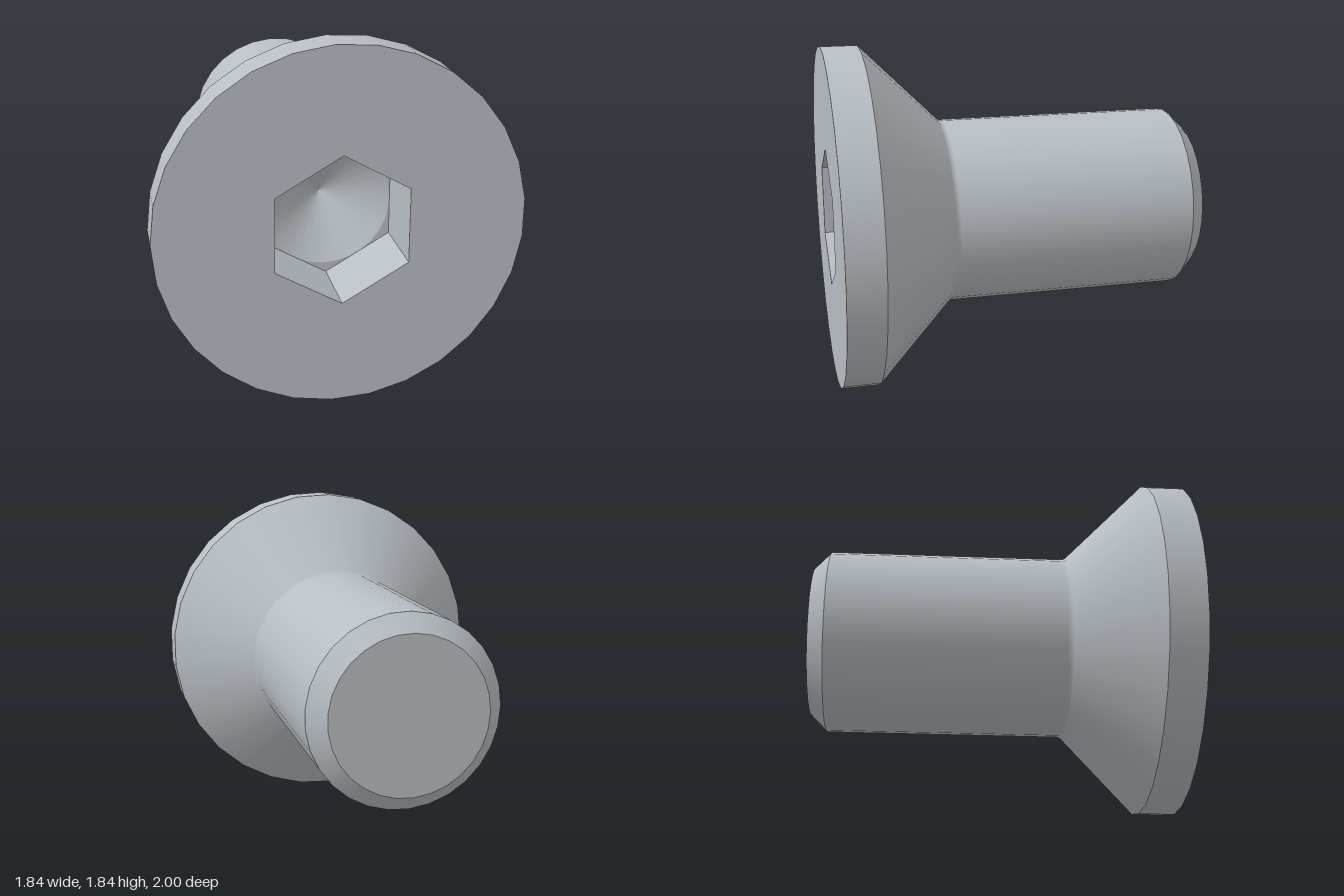
import * as THREE from 'three';

const SIDES = 29;
const HEAD_R = 0.923, SHAFT_R = 0.5, TIP_R = 0.41;
const HEX_R = 0.385, DRILL_R = 0.333;
const FLOOR_Z = 0.624;

// Regular polygon outline with its first corner at the given angle
function polygon(radius, sides, start, Type = THREE.Shape) {
  const pts = [];
  for (let i = 0; i < sides; i++) {
    const a = start + (i / sides) * Math.PI * 2;
    pts.push(new THREE.Vector2(Math.cos(a) * radius, Math.sin(a) * radius));
  }
  return new Type(pts);
}

// Surface of revolution about the z axis from [radius, z] pairs
function turned(profile, sides = SIDES, start = -Math.PI / 2) {
  const pts = profile.map(([r, z]) => new THREE.Vector2(r, z));
  return new THREE.LatheGeometry(pts, sides, start).rotateX(Math.PI / 2);
}

export function createModel() {
  const model = new THREE.Group();
  model.name = 'countersunkScrew';
  const screw = new THREE.Group();
  screw.name = 'screwBody';
  screw.position.y = 0.922;
  model.add(screw);

  const steel = new THREE.MeshStandardMaterial({ color: 0xb8bec3 });
  steel.name = 'steel';
  const add = (name, geometry) => {
    const mesh = new THREE.Mesh(geometry, steel);
    mesh.name = name;
    screw.add(mesh);
  };

  // Shank: flat tip, chamfer, cylinder and a small blend into the head
  add('shankTip', turned([[0, -1], [TIP_R, -1]]));
  add('shankChamfer', turned([[TIP_R, -1], [SHAFT_R, -0.91]]));
  add('shank', turned([[SHAFT_R, -0.91], [SHAFT_R, 0.365]]));
  add('neckBlend', turned([[SHAFT_R, 0.365], [0.5012, 0.373], [0.5045, 0.382], [0.5106, 0.3906]]));

  // Head: countersunk cone, rim and front face with the hexagonal opening
  add('headCone', turned([[0.5106, 0.3906], [HEAD_R, 0.803]]));
  add('headRim', turned([[HEAD_R, 0.803], [HEAD_R, 1]]));
  const face = polygon(HEAD_R, SIDES, Math.PI);
  face.holes.push(polygon(HEX_R, 6, Math.PI / 2, THREE.Path));
  add('headFace', new THREE.ShapeGeometry(face).translate(0, 0, 1));

  // Socket: six flat walls, corner ledges and a conical drill bottom
  const walls = turned([[HEX_R, 1], [HEX_R, FLOOR_Z]], 6, 0).toNonIndexed();
  walls.computeVertexNormals();
  add('socketWalls', walls);
  const ledge = polygon(HEX_R, 6, Math.PI / 2);
  ledge.holes.push(polygon(DRILL_R, SIDES, Math.PI, THREE.Path));
  add('socketLedge', new THREE.ShapeGeometry(ledge).translate(0, 0, FLOOR_Z));
  add('socketCone', turned([[DRILL_R, FLOOR_Z], [0, FLOOR_Z - 0.19]]));

  return model;
}
